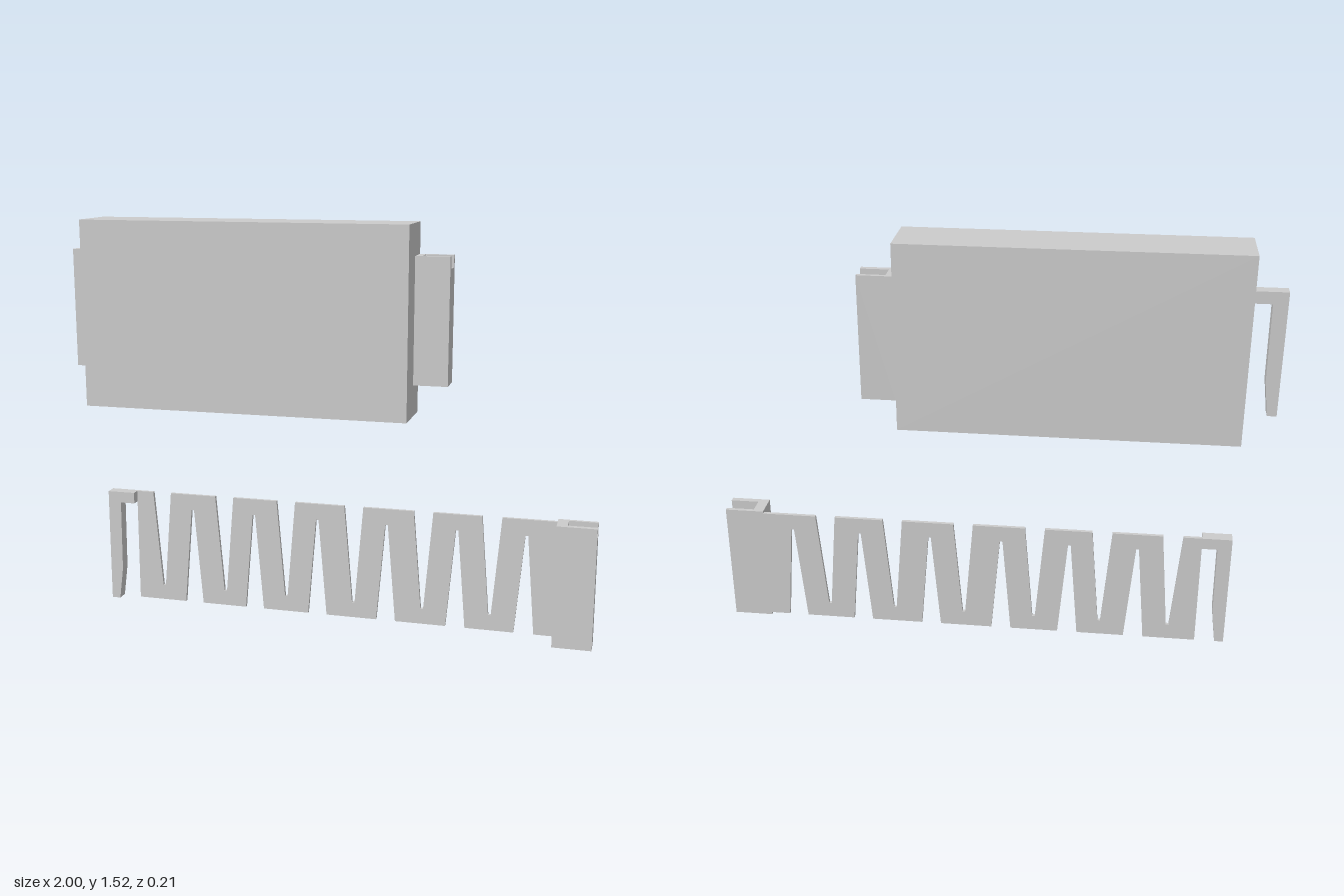
import * as THREE from 'three';
import { mergeGeometries } from 'three/addons/utils/BufferGeometryUtils.js';

const material = new THREE.MeshStandardMaterial({ color: 0xcccccc });
const BACK = -0.105, FRONT = 0.105;

const outline = (points) => new THREE.Shape(points.map(([x, y]) => new THREE.Vector2(x, y)));
const rect = (x0, y0, x1, y1) => [[x0, y0], [x1, y0], [x1, y1], [x0, y1]];

function named(name, geometry) {
  const mesh = new THREE.Mesh(geometry, material);
  mesh.name = name;
  return mesh;
}

// Solid plate cut from an outline, from depth z0 to z1
const plate = (points, z0, z1) =>
  new THREE.ExtrudeGeometry(outline(points), { depth: z1 - z0, bevelEnabled: false }).translate(0, 0, z0);

// Only the side walls of such a plate
function walls(points, z0, z1) {
  const g = plate(points, z0, z1);
  const side = g.groups[1];
  const out = new THREE.BufferGeometry();
  for (const key of ['position', 'normal', 'uv']) {
    const a = g.attributes[key], n = a.itemSize;
    out.setAttribute(key, new THREE.BufferAttribute(a.array.slice(side.start * n, (side.start + side.count) * n), n));
  }
  return out;
}

// Flat face at depth z, looking forwards or backwards
function face(points, z, backwards = false) {
  const g = new THREE.ShapeGeometry(outline(points)).translate(0, 0, z);
  return (backwards ? flip(g) : g).toNonIndexed();
}

// Turn a surface inside out
function flip(g) {
  g.setIndex(Array.from(g.index.array).reverse());
  g.computeVertexNormals();
  return g;
}

// Box without its underside
function openBox(x0, y0, z0, x1, y1, z1) {
  const g = new THREE.BoxGeometry(x1 - x0, y1 - y0, z1 - z0);
  g.translate((x0 + x1) / 2, (y0 + y1) / 2, (z0 + z1) / 2);
  g.setIndex(Array.from(g.index.array).filter((_, i) => i < 18 || i >= 24));
  return g;
}

// Hollow case, open at the bottom
function caseBody() {
  const x0 = -0.89, x1 = 0.33, y0 = 0.83, y1 = 1.52, t = 0.035;
  const shell = openBox(x0, y0, BACK, x1, y1, FRONT);
  const cavity = flip(openBox(x0 + t, y0, BACK + t, x1 - t, y1 - t, FRONT - t));
  const ring = outline(rect(x0, BACK, x1, FRONT));
  ring.holes.push(new THREE.Path(rect(x0 + t, BACK + t, x1 - t, FRONT - t).map(([x, y]) => new THREE.Vector2(x, y))));
  const rim = new THREE.ShapeGeometry(ring).rotateX(Math.PI / 2).translate(0, y0, 0);
  return mergeGeometries([shell, cavity, rim]);
}

// Downward hook: an arm reaching from xRoot to a tapering finger at xTip
function hook(xTip, xRoot, bottom, top) {
  return plate([
    [xTip, bottom], [xTip + 0.033, bottom], [xTip + 0.049, bottom + 0.125],
    [xTip + 0.051, top - 0.043], [xRoot, top - 0.043], [xRoot, top], [xTip, top],
  ], BACK, -0.06);
}

// Socket with a tapering pocket, open at the top and notched through its outer wall
function socket(x0, x1, y0, y1, pocketLeft, pocketRight) {
  const z0 = BACK, zA = -0.091, zB = -0.031, z1 = -0.01;
  const notch = y1 - 0.044, floor = y0 + 0.02;
  const inner = [
    [x1, notch], [pocketRight, notch], [pocketRight, y0 + 0.15],
    [pocketRight - 0.016, floor], [pocketLeft, floor], [pocketLeft, y1],
  ];
  const full = rect(x0, y0, x1, y1);
  const cut = [[x0, y0], [x1, y0], ...inner, [x0, y1]];
  const pocket = [...inner, [x1, y1]].reverse();
  return mergeGeometries([
    walls(full, z0, zA), walls(cut, zA, zB), walls(full, zB, z1),
    face(full, z0, true), face(full, z1),
    face(pocket, zA), face(pocket, zB, true),
  ]);
}

// Thin zigzag strap: V slots alternately from the bottom and the top
function strap() {
  const y0 = 0.01, y1 = 0.452, w = 0.037, tip = 0.005;
  const bottomSlots = [-0.553, -0.302, -0.048, 0.222, 0.489, 0.746];
  const topSlots = [-0.68, -0.422, -0.173, 0.095, 0.362, 0.618];
  const points = [[-0.785, y0]];
  for (const x of bottomSlots) points.push([x - w, y0], [x - tip, 0.39], [x + tip, 0.39], [x + w, y0]);
  points.push([0.856, y0], [0.856, y1]);
  for (const x of topSlots.reverse()) points.push([x + w, y1], [x + tip, 0.07], [x - tip, 0.07], [x - w, y1]);
  points.push([-0.785, y1]);
  return plate(points, BACK, BACK + 0.013);
}

export function createModel() {
  const model = new THREE.Group();
  model.name = 'caseWithStrap';

  const upper = new THREE.Group();
  upper.name = 'case';
  upper.add(
    named('caseBody', caseBody()),
    named('caseHook', hook(-1, -0.89, 0.952, 1.4)),
    named('caseSocket', socket(0.33, 0.455, 0.945, 1.405, 0.353, 0.422)),
  );

  const lower = new THREE.Group();
  lower.name = 'strap';
  lower.add(
    named('zigzagBand', strap()),
    named('strapHook', hook(-0.893, -0.785, 0.01, 0.452)),
    named('strapSocket', socket(0.856, 1, 0, 0.46, 0.895, 0.964)),
  );

  model.add(upper, lower);
  return model;
}
